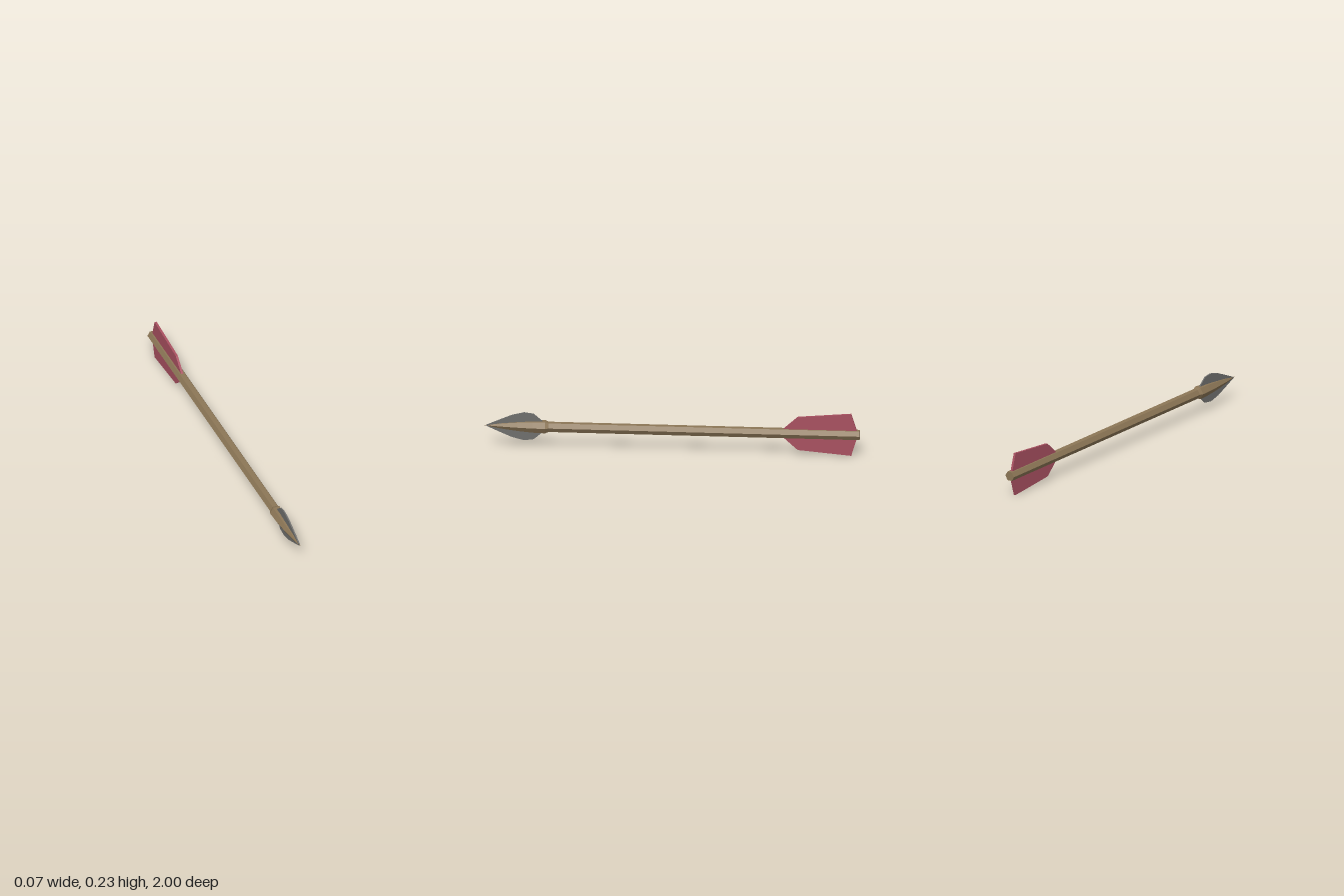
import * as THREE from 'three';

const AXIS_Y = 0.12;

// Six-sided solid along z from [radius, z] pairs, with corners on +x and -x
function hexRod(profile, material, name) {
  const points = profile.map(([r, z]) => new THREE.Vector2(r, z));
  const geometry = new THREE.LatheGeometry(points, 6, Math.PI / 2).rotateX(Math.PI / 2);
  const mesh = new THREE.Mesh(geometry, material);
  mesh.name = name;
  return mesh;
}

// Upright plate from the upper outline [z, height], mirrored below the axis
function finPlate(outline, thickness, material, name) {
  const upper = outline.map(([z, h]) => new THREE.Vector2(-z, h));
  const lower = outline.map(([z, h]) => new THREE.Vector2(-z, -h)).reverse();
  const geometry = new THREE.ExtrudeGeometry(new THREE.Shape([...upper, ...lower]), {
    depth: thickness, bevelEnabled: false,
  });
  geometry.translate(0, 0, -thickness / 2).rotateY(Math.PI / 2);
  const mesh = new THREE.Mesh(geometry, material);
  mesh.name = name;
  return mesh;
}

export function createModel() {
  const mat = (name, color) => {
    const m = new THREE.MeshStandardMaterial({ color, flatShading: true });
    m.name = name;
    return m;
  };
  const wood = mat('wood', 0x8c7656);
  const steel = mat('steel', 0x6e6e6c);
  const red = mat('red feather', 0xa85060);

  const arrow = new THREE.Group();
  arrow.name = 'arrow';
  arrow.position.y = AXIS_Y;

  // Shaft with closed back end
  arrow.add(hexRod([[0, -1], [0.028, -1], [0.028, 0.68]], wood, 'shaft'));

  // Flared collar tapering to the point
  arrow.add(hexRod(
    [[0.028, 0.655], [0.036, 0.672], [0.034, 0.74], [0.027, 0.82], [0.016, 0.91], [0, 1]],
    wood, 'pointCore'));

  // Broad leaf-shaped blade through the core
  arrow.add(finPlate(
    [[0.68, 0.02], [0.69, 0.033], [0.735, 0.071], [0.785, 0.078], [0.85, 0.062], [0.92, 0.032], [0.985, 0.003]],
    0.007, steel, 'blade'));

  // Fletching above and below the shaft
  arrow.add(finPlate(
    [[-0.985, 0.02], [-0.955, 0.117], [-0.67, 0.092], [-0.59, 0.02]],
    0.012, red, 'fletching'));

  const model = new THREE.Group();
  model.name = 'model';
  model.add(arrow);
  return model;
}
